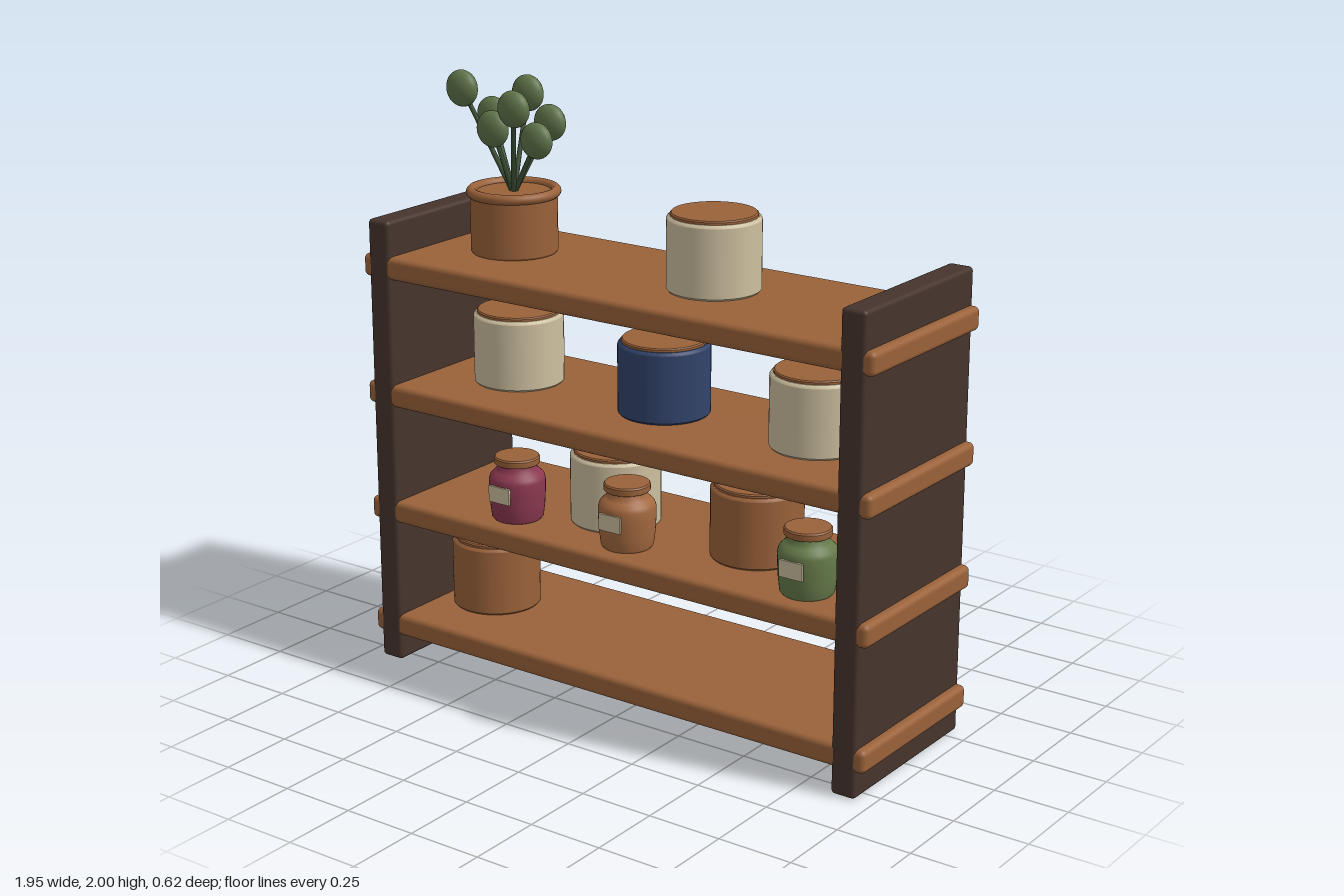
import * as THREE from 'three';
import { RoundedBoxGeometry } from 'three/addons/geometries/RoundedBoxGeometry.js';

const mat = (name, color) => {
  const m = new THREE.MeshStandardMaterial({ color });
  m.name = name;
  return m;
};

export function createModel() {
  const wood = mat('warm wood', 0x9a623a);
  const dark = mat('dark wood', 0x46342d);
  const cream = mat('cream glaze', 0xcdbf9f);
  const blue = mat('blue glaze', 0x32436a);
  const berry = mat('berry jar', 0x8b3850);
  const amber = mat('amber jar', 0xa3683f);
  const olive = mat('green jar', 0x657a4a);
  const leafGreen = mat('leaf green', 0x5f7349);
  const stemGreen = mat('stem green', 0x3c5035);

  const root = new THREE.Group();
  root.name = 'shelfUnit';

  const add = (parent, name, geometry, material, x = 0, y = 0, z = 0) => {
    const m = new THREE.Mesh(geometry, material);
    m.name = name;
    m.position.set(x, y, z);
    parent.add(m);
    return m;
  };
  const group = (name, x, y, z) => {
    const g = new THREE.Group();
    g.name = name;
    g.position.set(x, y, z);
    root.add(g);
    return g;
  };
  const lathe = (points, segments = 40) =>
    new THREE.LatheGeometry(points.map(([r, y]) => new THREE.Vector2(r, y)), segments);

  // Side panels
  for (const [name, x] of [['rightPanel', -0.905], ['leftPanel', 0.899]]) {
    add(root, name, new RoundedBoxGeometry(0.086, 1.53, 0.624, 3, 0.014), dark, x, 0.765, 0);
  }

  // Shelves run through the panels
  const tops = [0.164, 0.571, 0.977, 1.411];
  const shelfGeo = new RoundedBoxGeometry(1.946, 0.076, 0.62, 3, 0.018);
  tops.forEach((y, i) => add(root, 'shelf' + (i + 1), shelfGeo, wood, -0.002, y - 0.038, 0));

  // Canisters with a rounded shoulder and an inset wooden lid
  const canisterGeo = lathe([
    [0, 0], [0.144, 0], [0.144, 0], [0.149, 0.006], [0.149, 0.006], [0.149, 0.226],
    [0.149, 0.226], [0.146, 0.232], [0.14, 0.236], [0.14, 0.236], [0, 0.236],
  ]);
  const lidGeo = lathe([
    [0.137, 0], [0.137, 0.012], [0.137, 0.012], [0.133, 0.016], [0.133, 0.016], [0, 0.016],
  ]);
  const canisters = [
    [0, -0.688, wood],
    [1, -0.177, cream], [1, 0.377, wood],
    [2, -0.573, cream], [2, 0.017, blue], [2, 0.593, cream],
    [3, 0.206, cream],
  ];
  for (const [shelf, x, material] of canisters) {
    const g = group('canister', x, tops[shelf], 0.005);
    add(g, 'canisterBody', canisterGeo, material);
    add(g, 'canisterLid', lidGeo, wood, 0, 0.231, 0);
  }

  // Small jars with a neck, lid and front label
  const jarGeo = lathe([
    [0, 0], [0.078, 0], [0.078, 0], [0.085, 0.008], [0.09, 0.05], [0.093, 0.1], [0.093, 0.135],
    [0.088, 0.15], [0.075, 0.163], [0.064, 0.172], [0.062, 0.19], [0.062, 0.19], [0, 0.19],
  ]);
  const jarLidGeo = lathe([
    [0, 0], [0.073, 0], [0.073, 0], [0.075, 0.003], [0.075, 0.02], [0.075, 0.02],
    [0.071, 0.025], [0.071, 0.025], [0, 0.025],
  ]);
  for (const [x, material] of [[-0.45, berry], [-0.003, amber], [0.677, olive]]) {
    const g = group('jar', x, tops[1], 0.178);
    add(g, 'jarBody', jarGeo, material);
    add(g, 'jarLid', jarLidGeo, wood, 0, 0.189, 0);
    add(g, 'jarLabel', new THREE.BoxGeometry(0.084, 0.055, 0.008), cream, 0, 0.1, 0.093);
  }

  // Plant pot with a rolled rim
  const plant = group('plant', -0.595, tops[3], -0.008);
  add(plant, 'pot', lathe([
    [0, 0], [0.139, 0], [0.139, 0], [0.143, 0.006], [0.143, 0.006], [0.143, 0.2],
    [0.143, 0.2], [0, 0.2],
  ]), wood);
  const rim = add(plant, 'potRim', new THREE.TorusGeometry(0.138, 0.017, 12, 40), wood, 0, 0.2, 0);
  rim.rotation.x = Math.PI / 2;

  // Round flattened leaves on thin stems fanning from the pot
  const leafGeo = new THREE.SphereGeometry(0.06, 20, 14).scale(1, 1, 0.6);
  const leaves = [
    [-0.743, 1.942, 0.064], [-0.738, 1.833, -0.083], [-0.616, 1.913, -0.115],
    [-0.614, 1.825, 0.07], [-0.517, 1.902, 0.082], [-0.501, 1.786, -0.012],
    [-0.514, 1.83, -0.1],
  ];
  const up = new THREE.Vector3(0, 1, 0);
  for (const p of leaves) {
    const start = new THREE.Vector3(0, 0.19, 0);
    const end = new THREE.Vector3(...p).sub(plant.position);
    const dir = end.clone().sub(start);
    const stem = add(plant, 'stem', new THREE.CylinderGeometry(0.007, 0.009, dir.length(), 8), stemGreen);
    stem.position.copy(start).add(end).multiplyScalar(0.5);
    stem.quaternion.setFromUnitVectors(up, dir.normalize());
    add(plant, 'leaf', leafGeo, leafGreen, end.x, end.y, end.z);
  }

  return root;
}
